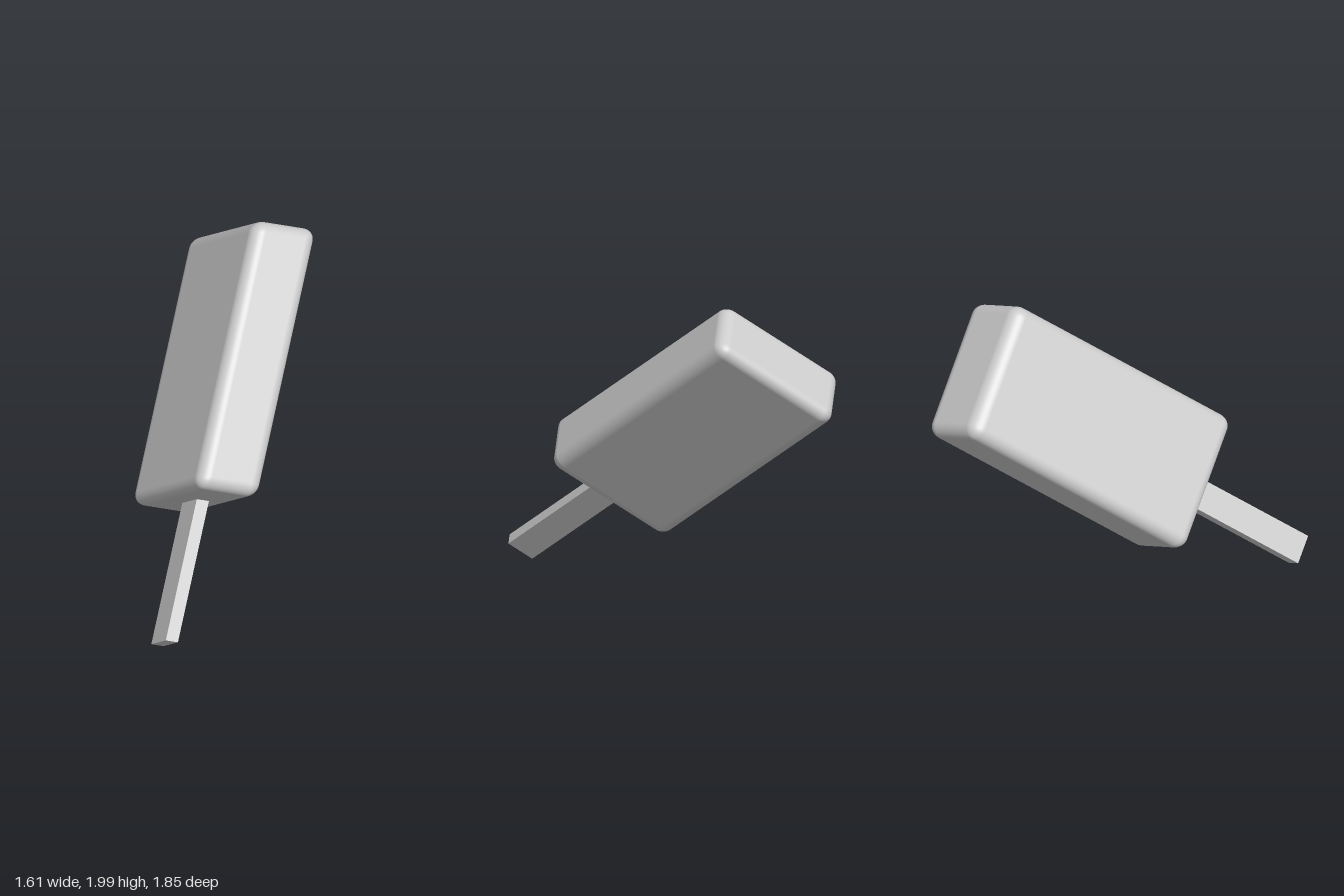
import * as THREE from 'three';
import { RoundedBoxGeometry } from 'three/addons/geometries/RoundedBoxGeometry.js';

// Slightly skewed axes of the tilted ice lolly: width, length (towards the tip), thickness
const WIDTH = new THREE.Vector3(1, 0.74, 0.057).normalize();
const LENGTH = new THREE.Vector3(-0.72, 1, -1.03).normalize();
const THICK = new THREE.Vector3(-0.385, 0.43, 1).normalize();

// Lays an upright geometry along the skewed axes around a centre
function tilted(name, geometry, centre, material) {
  geometry.applyMatrix4(new THREE.Matrix4().makeBasis(WIDTH, LENGTH, THICK));
  const mesh = new THREE.Mesh(geometry, material);
  mesh.name = name;
  mesh.position.copy(centre);
  return mesh;
}

export function createModel() {
  const group = new THREE.Group();
  group.name = 'iceLolly';
  const material = new THREE.MeshStandardMaterial({ color: 0xcccccc });

  // Ice block with softly rounded edges
  const block = new RoundedBoxGeometry(0.872, 1.694, 0.422, 6, 0.077);
  group.add(tilted('iceBlock', block, new THREE.Vector3(-0.052, 1.175, -0.212), material));

  // Square-edged stick, its top end sunk into the block
  const stickLength = 1.0;
  const stickEnd = new THREE.Vector3(0.715, 0.07, 0.885);
  const stickCentre = stickEnd.addScaledVector(LENGTH, stickLength / 2);
  const stick = new THREE.BoxGeometry(0.18, stickLength, 0.082);
  group.add(tilted('stick', stick, stickCentre, material));

  return group;
}
